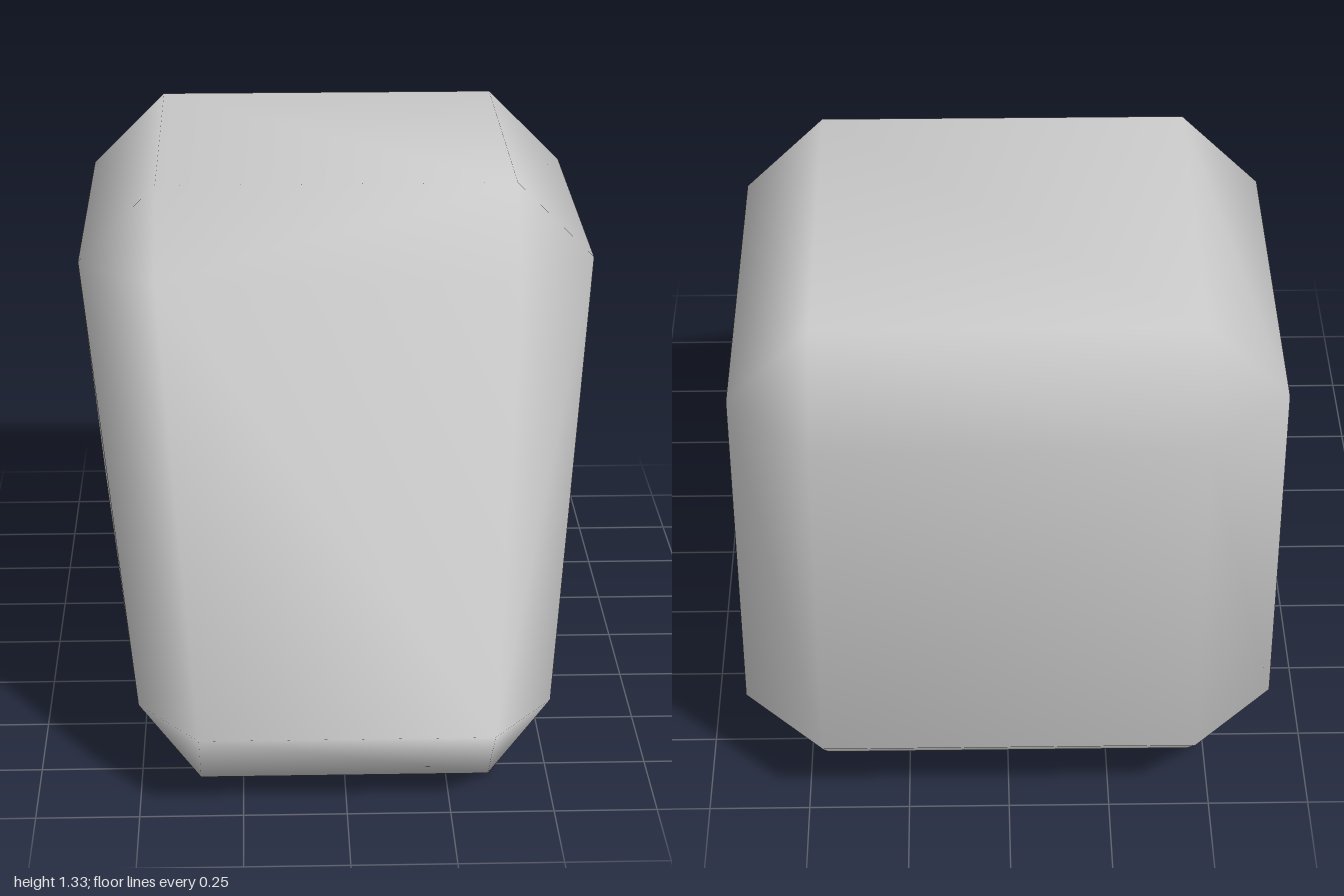
import * as THREE from 'three';
import { ConvexGeometry } from 'three/addons/geometries/ConvexGeometry.js';
import { mergeVertices } from 'three/addons/utils/BufferGeometryUtils.js';

// Chamfered corner: each corner of the block is cut into three points.
// inner = coordinates set back from the faces, outer = coordinates on the faces.
const corners = [
  { inner: [0.46, 1.125, 0.13], outer: [0.66, 1.325, 0.325] }, // front top
  { inner: [0.355, 0.2, 0.8], outer: [0.505, 0, 1] },          // front bottom
  { inner: [0.46, 1.125, -0.8], outer: [0.66, 1.325, -1] },    // back top
  { inner: [0.46, 0.2, -0.8], outer: [0.66, 0, -1] },          // back bottom
];

export function createModel() {
  const points = [];
  for (const side of [-1, 1]) {
    for (const { inner, outer } of corners) {
      for (let axis = 0; axis < 3; axis++) {
        const p = [...inner];
        p[axis] = outer[axis];
        points.push(new THREE.Vector3(p[0] * side, p[1], p[2]));
      }
    }
  }

  // Share the vertices so the broad faces blend smoothly over the chamfers
  let geometry = new ConvexGeometry(points);
  geometry.deleteAttribute('normal');
  geometry = mergeVertices(geometry, 1e-4);
  geometry.computeVertexNormals();

  const body = new THREE.Mesh(geometry, new THREE.MeshStandardMaterial({ color: 0xcccccc }));
  body.name = 'chamferedBody';

  const group = new THREE.Group();
  group.name = 'taperedBlock';
  group.add(body);
  return group;
}
